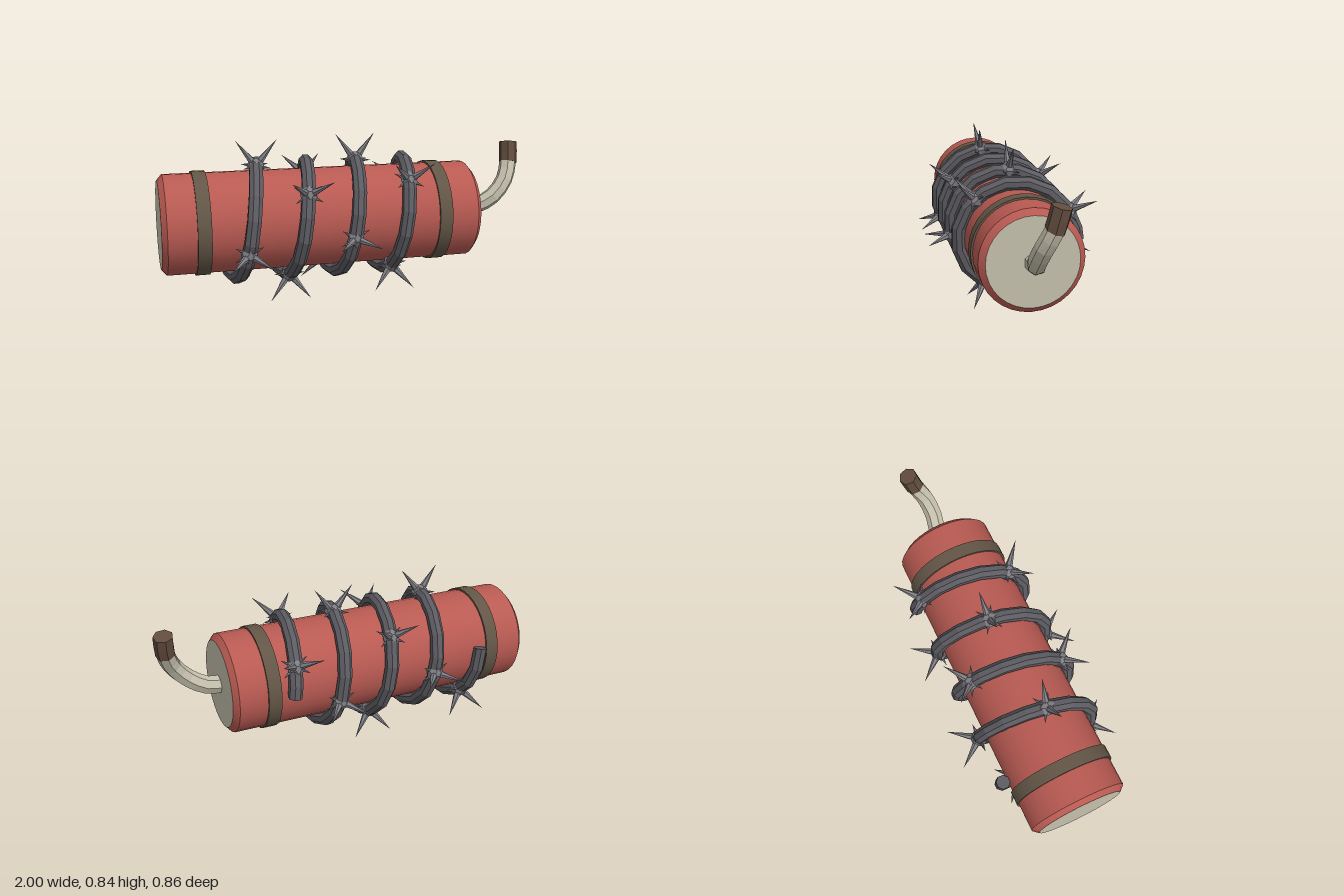
import * as THREE from 'three';

const CY = 0.417, CZ = 0.007; // axis of the stick

const material = (name, color) => {
  const m = new THREE.MeshStandardMaterial({ color });
  m.name = name;
  return m;
};

// Faceted normals stored in the geometry
function faceted(geometry) {
  const g = geometry.index ? geometry.toNonIndexed() : geometry;
  g.computeVertexNormals();
  return g;
}

// Closed faceted tube through points; ups[i] gives the first corner direction of ring i
function sweep(points, ups, tangents, radii, sides) {
  const pos = [], index = [], n = points.length;
  points.forEach((p, i) => {
    const t = tangents[i];
    const u = ups[i].clone().addScaledVector(t, -ups[i].dot(t)).normalize();
    const b = new THREE.Vector3().crossVectors(t, u);
    for (let j = 0; j < sides; j++) {
      const a = ((j + 0.5) / sides) * Math.PI * 2;
      const v = p.clone().addScaledVector(u, Math.cos(a) * radii[i]).addScaledVector(b, Math.sin(a) * radii[i]);
      pos.push(v.x, v.y, v.z);
    }
  });
  pos.push(...points[0].toArray(), ...points[n - 1].toArray());
  const first = n * sides, last = first + 1, end = (n - 1) * sides;
  for (let j = 0; j < sides; j++) {
    const k = (j + 1) % sides;
    for (let i = 0; i < n - 1; i++) {
      const a = i * sides, c = a + sides;
      index.push(a + j, a + k, c + k, a + j, c + k, c + j);
    }
    index.push(first, k, j, last, end + j, end + k);
  }
  const g = new THREE.BufferGeometry();
  g.setAttribute('position', new THREE.Float32BufferAttribute(pos, 3));
  g.setIndex(index);
  return faceted(g);
}

export function createModel() {
  const red = material('red casing', 0xb85a52);
  const cream = material('cream', 0xc4bfac);
  const brown = material('band brown', 0x635647);
  const burnt = material('burnt brown', 0x624c3f);
  const darkSteel = material('dark steel', 0x5b5b61);
  const steel = material('steel', 0x7d7d84);

  const model = new THREE.Group();
  model.name = 'spikedStick';
  const add = (parent, name, geometry, mat) => {
    const mesh = new THREE.Mesh(geometry, mat);
    mesh.name = name;
    parent.add(mesh);
    return mesh;
  };

  // Casing: local y runs along the model's x
  const stick = new THREE.Group();
  stick.name = 'stick';
  stick.position.set(0, CY, CZ);
  stick.rotation.z = -Math.PI / 2;
  model.add(stick);
  const x0 = -1, x1 = 0.675, bevel = 0.027, R = 0.26, capR = 0.229;
  const ring = (name, from, to, rFrom, rTo, mat, open) => {
    const m = add(stick, name, new THREE.CylinderGeometry(rTo, rFrom, to - from, 32, 1, open), mat);
    m.position.y = (from + to) / 2;
  };
  ring('casing', x0 + bevel, x1 - bevel, R, R, red, true);
  ring('rightBevel', x0, x0 + bevel, capR, R, red, true);
  ring('leftBevel', x1 - bevel, x1, R, capR, red, true);
  for (const [name, y, s] of [['rightCap', x0, 1], ['leftCap', x1, -1]]) {
    const cap = add(stick, name, new THREE.CircleGeometry(capR, 32), cream);
    cap.position.y = y;
    cap.rotation.x = s * Math.PI / 2;
  }
  ring('rightBand', -0.828, -0.758, 0.27, 0.27, brown, false);
  ring('leftBand', 0.43, 0.5, 0.27, 0.27, brown, false);

  // Wire coil: t counts turns, starting at the back and going down, front, top
  const coilR = 0.294, pitch = 0.267;
  const radial = (t) => new THREE.Vector3(0, -Math.sin(t * Math.PI * 2), -Math.cos(t * Math.PI * 2));
  const onCoil = (t) => radial(t).multiplyScalar(coilR).add(new THREE.Vector3(-0.695 + pitch * t, CY, CZ));
  const turns = [];
  for (let i = 0; i <= 64; i++) turns.push((i - 0.5) / 16);
  turns.push(4);
  add(model, 'wireCoil', sweep(
    turns.map(onCoil),
    turns.map(radial),
    turns.map((t) => onCoil(t + 0.005).sub(onCoil(t - 0.005)).normalize()),
    turns.map(() => 0.037), 8), darkSteel);

  // Spiked knots spaced evenly along the coil
  const hubGeometry = faceted(new THREE.IcosahedronGeometry(0.05, 0));
  const spike = (r, length) => faceted(new THREE.ConeGeometry(r, length, 6).translate(0, length / 2, 0));
  const longSpike = spike(0.024, 0.176), shortSpike = spike(0.018, 0.085);
  const up = new THREE.Vector3(0, 1, 0);
  for (let i = 0; i < 14; i++) {
    const t = 0.146 + 0.29 * i, out = radial(t);
    const knot = new THREE.Group();
    knot.name = 'spikedKnot';
    knot.position.copy(onCoil(t));
    knot.rotation.x = Math.atan2(out.z, out.y);
    add(knot, 'knotHub', hubGeometry, steel);
    for (const s of [-1, 1]) {
      const long = add(knot, 'longSpike', longSpike, steel);
      long.quaternion.setFromUnitVectors(up, new THREE.Vector3(s * 0.107, 0.14, 0).normalize());
      for (const z of [-1, 1]) {
        const short = add(knot, 'shortSpike', shortSpike, steel);
        short.quaternion.setFromUnitVectors(up, new THREE.Vector3(s * 0.8, 0, z * 0.5).normalize());
      }
    }
    model.add(knot);
  }

  // Bent fuse with a burnt tip
  const path = new THREE.CatmullRomCurve3([
    [0.66, 0.417, 0.005], [0.74, 0.425, 0.008], [0.83, 0.475, 0.025],
    [0.905, 0.565, 0.012], [0.94, 0.655, -0.025], [0.95, 0.765, -0.052],
  ].map((p) => new THREE.Vector3(...p)));
  const fuse = (from, to, steps, radius) => {
    const us = Array.from({ length: steps + 1 }, (_, i) => from + ((to - from) * i) / steps);
    return sweep(
      us.map((u) => path.getPoint(u)),
      us.map(() => new THREE.Vector3(0, 0, 1)),
      us.map((u) => path.getTangent(u)),
      us.map(() => radius), 7);
  };
  add(model, 'fuse', fuse(0, 0.8, 8, 0.047), cream);
  add(model, 'fuseTip', fuse(0.8, 1, 2, 0.05), burnt);

  return model;
}
